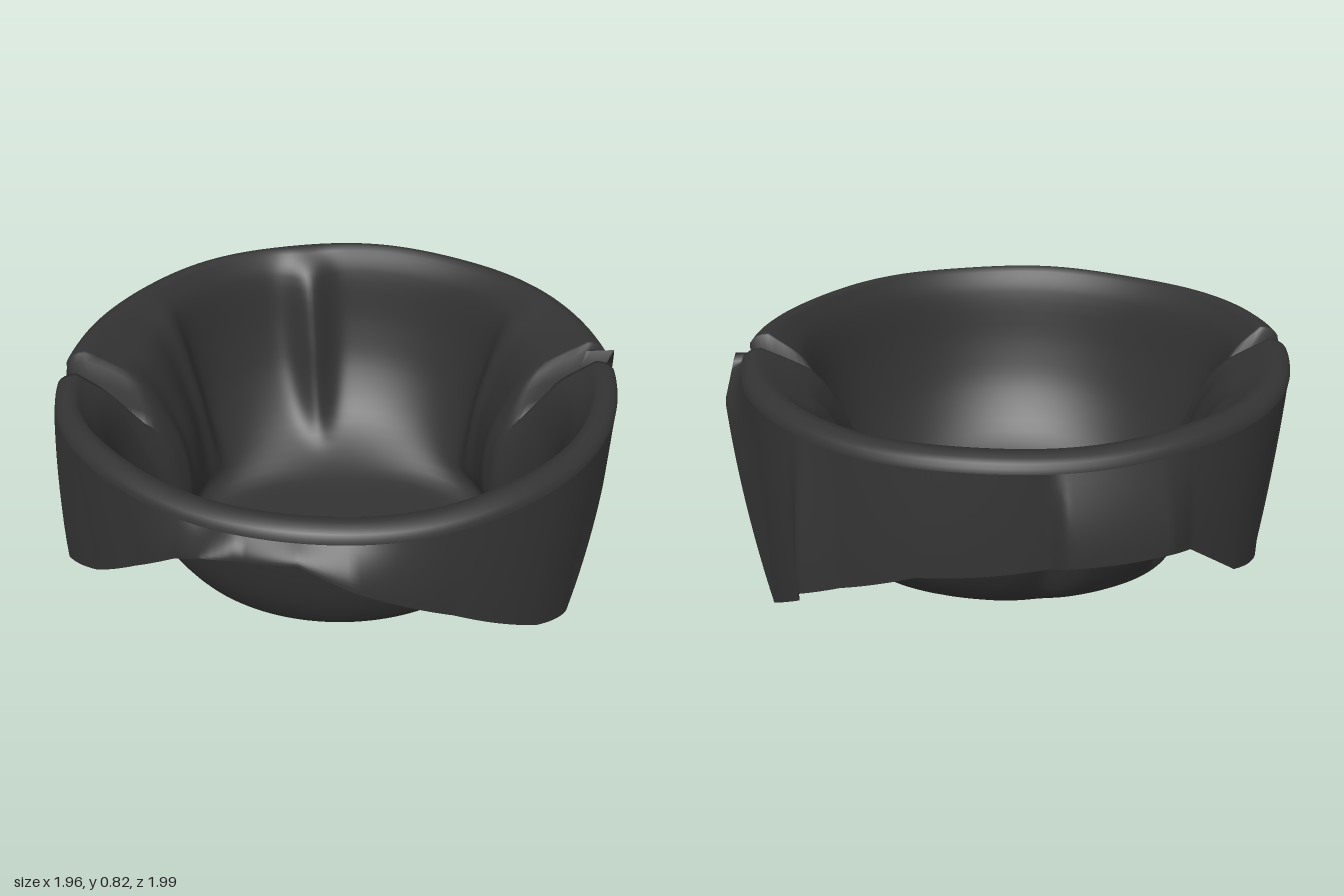
import * as THREE from 'three';

const material = new THREE.MeshStandardMaterial({ color: 0x333333, side: THREE.DoubleSide });

// Hem of the overhanging cloth: [angle in degrees (0 = +x, 90 = front), radius, height]
const HEM = [
  [0, 0.88, 0.7], [1, 0.8, 0.56], [5, 0.925, 0.76], [16, 0.93, 0.42], [31, 0.9, 0.04],
  [50, 0.935, 0.23], [72, 0.95, 0.47], [90, 1.0, 0.66], [99, 0.975, 0.73], [109, 0.965, 0.71],
  [114, 1.02, 0.74], [122, 0.96, 0.64], [134, 0.935, 0.49], [150, 0.95, 0.3], [165, 1.0, 0.17],
  [176, 0.98, 0.64], [179, 0.8, 0.56], [184, 0.955, 0.68], [197, 0.88, 0.1], [212, 0.9, 0.19],
  [225, 0.93, 0.28], [240, 0.95, 0.46], [246, 1.0, 0.5], [264, 1.0, 0.51], [267, 0.93, 0.47],
  [290, 0.95, 0.43], [306, 0.95, 0.32], [314, 1.0, 0.27], [318, 0.95, 0.19], [334, 0.93, 0.03],
  [353, 0.99, 0.64], [358, 0.95, 0.8], [360, 0.88, 0.7],
];

// Gathers in the wall: [angle, width, inward depth]; the two wide ones pinch in the sides
const FOLDS = [
  [348, 25, 0.18], [195, 22, 0.17], [333, 5, 0.03], [357, 6, 0.03], [183, 5, 0.04],
  [214, 5, 0.04], [263, 6, 0.1],
];

const RIM = 0.86;
const profile = (pts) => new THREE.CatmullRomCurve3(pts.map(([r, y]) => new THREE.Vector3(r, y, 0)));
// Wall section towards the sides and towards the front and back
const SIDE = profile([[0, 0.01], [0.3, 0.01], [0.565, 0.012], [0.62, 0.13], [0.7, 0.3], [0.76, 0.5], [0.81, 0.72], [RIM, 0.815]]);
const FRONT = profile([[0, 0.01], [0.2, 0.01], [0.38, 0.025], [0.59, 0.14], [0.72, 0.32], [0.78, 0.5], [0.82, 0.72], [RIM, 0.815]]);

const lerp = THREE.MathUtils.lerp;
const angleGap = (a, b) => Math.abs(((a - b + 540) % 360) - 180);
const bump = (deg, at, width) => Math.exp(-((angleGap(deg, at) / width) ** 2));

function hemAt(deg) {
  const i = Math.max(1, HEM.findIndex((k) => k[0] >= deg));
  const [p, q] = [HEM[i - 1], HEM[i]];
  const f = (deg - p[0]) / (q[0] - p[0]);
  return { r: lerp(p[1], q[1], f), y: lerp(p[2], q[2], f) };
}

// 1 in the middle of the two slits in the rim, 0 away from them
const slit = (deg) => Math.max(0, 1 - Math.min(angleGap(deg, 1.3), angleGap(deg, 178.7)) / 3.6);

function rimAt(deg) {
  const s = slit(deg);
  const a = THREE.MathUtils.degToRad(deg);
  const y = 0.815 - 0.25 * s + 0.005 * Math.sin(5 * a) * Math.cos(3 * a);
  const hem = hemAt(deg);
  const drop = Math.max(0, Math.min(0.045, y - hem.y));
  const r = lerp(RIM + 0.03 * bump(deg, 163, 20), 0.78, s);
  return { r, y, drop, hem, shoulderR: r + 1.5 * drop };
}

// Wall from the middle of the floor (t = 0) to the crest (t = 1)
function wallPoint(deg, t) {
  const rim = rimAt(deg);
  const a = THREE.MathUtils.degToRad(deg);
  const p = SIDE.getPoint(t).lerp(FRONT.getPoint(t), Math.sin(a) ** 2);
  const rise = THREE.MathUtils.smoothstep(t, 0.45, 1);
  let r = p.x + (rim.r - RIM) * rise;
  const strength = Math.sin(Math.PI * THREE.MathUtils.clamp((t - 0.36) / 0.64, 0, 1));
  for (const [at, width, depth] of FOLDS) r -= depth * strength * bump(deg, at, width);
  return [r, p.y * lerp(1, rim.y / 0.815, rise)];
}

// Sheet swept through the angles; section(deg, j) gives [radius, height]
function sheet(name, from, to, rows, section) {
  const pos = [];
  const index = [];
  const closed = to - from === 360;
  const cols = closed ? 360 : to - from + 1;
  for (let i = 0; i < cols; i++) {
    const a = THREE.MathUtils.degToRad(from + i);
    for (let j = 0; j < rows; j++) {
      const [r, y] = section(from + i, j);
      pos.push(r * Math.cos(a), y, r * Math.sin(a));
    }
  }
  for (let i = 0; i < (closed ? cols : cols - 1); i++) {
    for (let j = 0; j < rows - 1; j++) {
      const a = i * rows + j;
      const b = ((i + 1) % cols) * rows + j;
      index.push(a, b, a + 1, b, b + 1, a + 1);
    }
  }
  const geo = new THREE.BufferGeometry();
  geo.setAttribute('position', new THREE.Float32BufferAttribute(pos, 3));
  geo.setIndex(index);
  geo.computeVertexNormals();
  const mesh = new THREE.Mesh(geo, material);
  mesh.name = name;
  return mesh;
}

export function createModel() {
  const group = new THREE.Group();
  group.name = 'clothBowlLiner';

  // Bowl-shaped lining with the rolled rim
  const wallRows = 36;
  const rollRows = 5;
  group.add(sheet('lining', 0, 360, wallRows + rollRows, (deg, j) => {
    if (j < wallRows) return wallPoint(deg, j / (wallRows - 1));
    const rim = rimAt(deg);
    const q = ((j - wallRows + 1) / rollRows) * Math.PI / 2;
    return [lerp(rim.r, rim.shoulderR, Math.sin(q)), rim.y - rim.drop * (1 - Math.cos(q))];
  }));

  // Pointed flaps hanging outside, front and back, parted at the slits
  const flapRows = 9;
  const flap = (deg, j) => {
    const rim = rimAt(deg);
    const f = j / (flapRows - 1);
    const top = rim.y - rim.drop;
    return [lerp(rim.shoulderR, rim.hem.r, Math.sin(f * Math.PI / 2)), lerp(top, Math.min(top, rim.hem.y), f)];
  };
  group.add(sheet('frontFlap', 2, 178, flapRows, flap));
  group.add(sheet('backFlap', 180, 360, flapRows, flap));
  return group;
}
